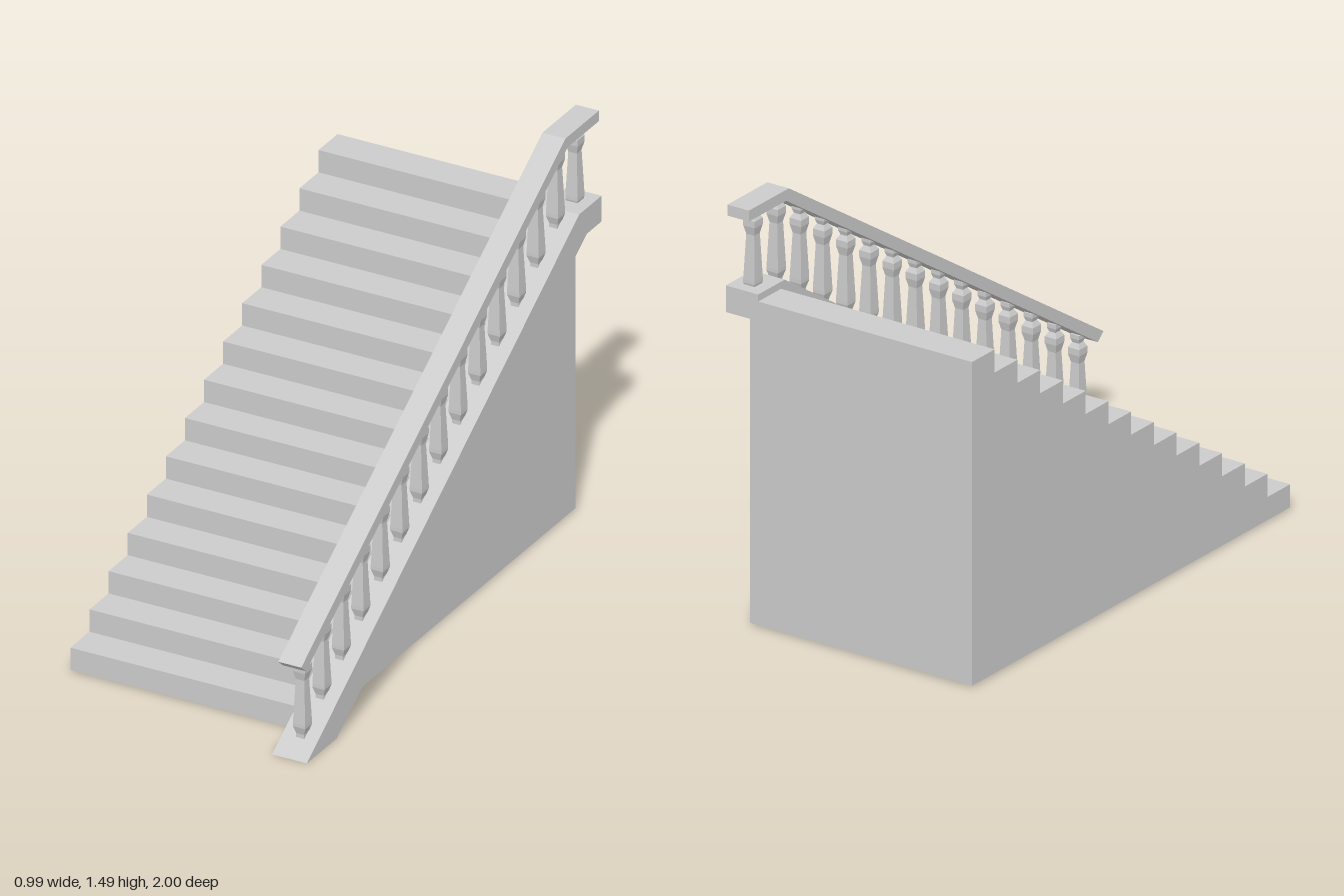
import * as THREE from 'three';

const grey = new THREE.MeshStandardMaterial({ color: 0xcccccc, flatShading: true });

// Extrudes a side profile of [z, y] points across the width from x0 to x1
function sideExtrude(name, points, x0, x1) {
  const shape = new THREE.Shape(points.map(([z, y]) => new THREE.Vector2(z, y)));
  const geo = new THREE.ExtrudeGeometry(shape, { depth: x1 - x0, bevelEnabled: false });
  geo.rotateY(-Math.PI / 2).translate(x1, 0, 0);
  const mesh = new THREE.Mesh(geo, grey);
  mesh.name = name;
  return mesh;
}

export function createModel() {
  const group = new THREE.Group();
  group.name = 'staircase';

  // Solid flight of steps
  const steps = 14, front = 0.815, back = -0.98, base = 0.007, top = 1.16;
  const going = (front - back) / steps, rise = (top - base) / steps;
  const profile = [[back, base], [front, base]];
  for (let i = 0; i < steps; i++) {
    const y = base + (i + 1) * rise;
    profile.push([front - i * going, y], [front - (i + 1) * going, y]);
  }
  group.add(sideExtrude('steps', profile, -0.495, 0.395));

  // Sloping side beam that levels out at the top
  group.add(sideExtrude('stringer', [
    [1, 0], [0.8, 0], [-0.88, 1.09], [-0.98, 1.09], [-0.98, 1.185], [-0.83, 1.185],
  ], 0.362, 0.492));

  // Handrail following the beam
  group.add(sideExtrude('handrail', [
    [1, 0.348], [0.968, 0.32], [-0.79, 1.446], [-1, 1.446], [-1, 1.485], [-0.775, 1.485],
  ], 0.385, 0.471));

  // Square turned balusters: [half width, height]
  const turning = [
    [0, -0.02], [0.015, -0.02], [0.015, 0.005], [0.023, 0.032], [0.023, 0.045],
    [0.016, 0.205], [0.023, 0.235], [0.023, 0.258], [0.013, 0.275], [0.018, 0.29],
    [0.018, 0.305], [0, 0.305],
  ].map(([r, y]) => new THREE.Vector2(r * Math.SQRT2, y));
  const balusterGeo = new THREE.LatheGeometry(turning, 4, Math.PI / 4);
  const balusters = new THREE.Group();
  balusters.name = 'balusters';
  for (let i = 0; i < 15; i++) {
    const z = 0.915 - i * 0.1308;
    const baluster = new THREE.Mesh(balusterGeo, grey);
    baluster.name = 'baluster';
    baluster.position.set(0.428, Math.min((1 - z) * 0.6475, 1.16), z);
    balusters.add(baluster);
  }
  group.add(balusters);
  return group;
}
